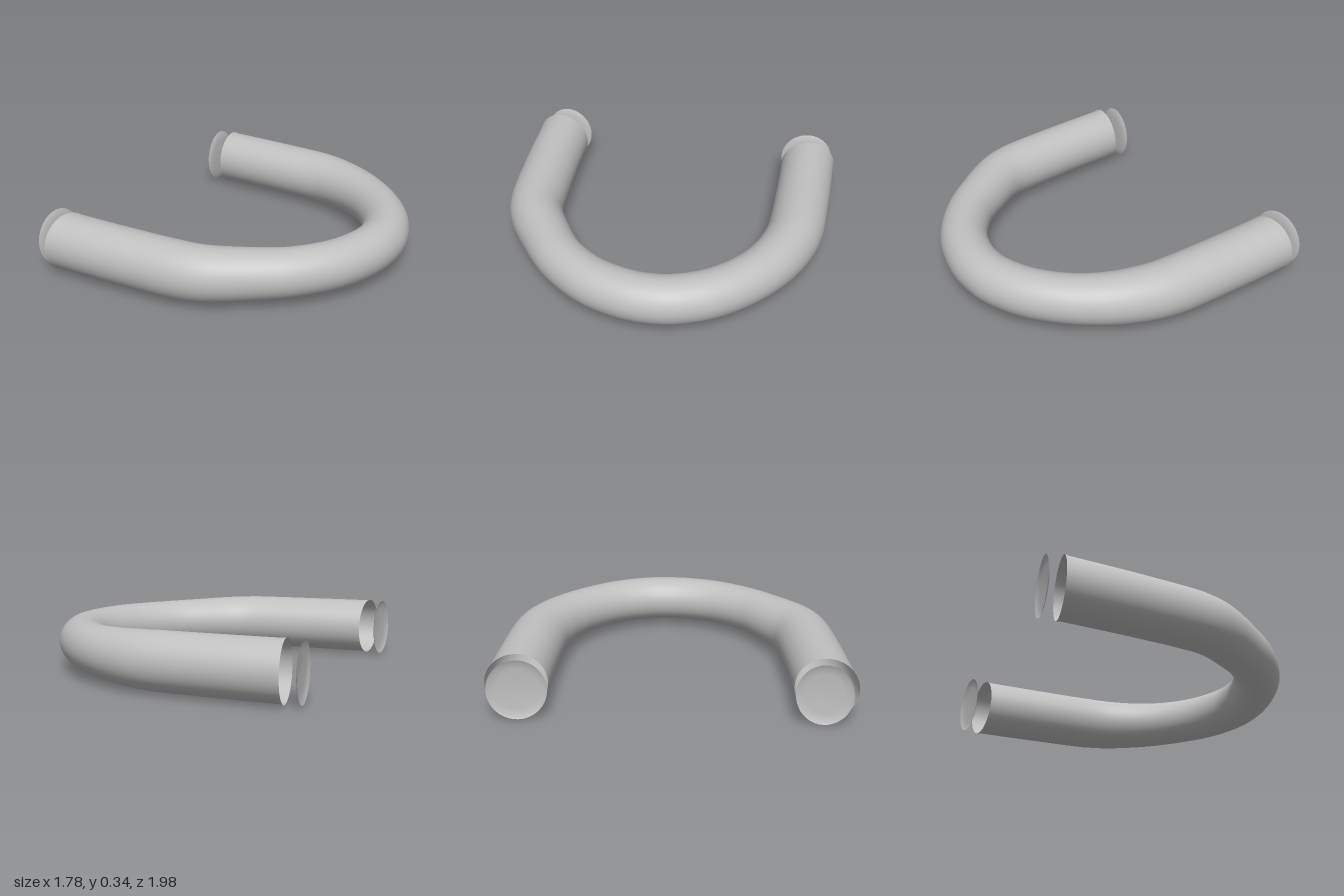
import * as THREE from 'three';

const CENTRE_Y = 0.176;

// Centre line of the bend in plan, as [x, z]
const PATH = [
  [-0.74, -0.825], [-0.4, -0.818], [0, -0.797], [0.14, -0.766], [0.32, -0.69],
  [0.5, -0.56], [0.65, -0.38], [0.73, -0.19], [0.745, -0.07], [0.733, 0.07],
  [0.66, 0.28], [0.5, 0.49], [0.3, 0.64], [0.12, 0.745], [0, 0.78],
  [-0.4, 0.81], [-0.79, 0.822],
];

// Pipe is thick on the straight legs and narrows round the bend
function pipeRadius(x) {
  if (x < 0) return 0.163 - 0.004 * x;
  return THREE.MathUtils.lerp(0.163, 0.138, THREE.MathUtils.smoothstep(x, -0.1, 0.6));
}

function buildPipe(material) {
  const rings = 160, sides = 40;
  const curve = new THREE.CatmullRomCurve3(
    PATH.map(([x, z]) => new THREE.Vector3(x, CENTRE_Y, z)), false, 'centripetal');
  const geometry = new THREE.TubeGeometry(curve, rings, 1, sides, false);
  const pos = geometry.attributes.position;
  const v = new THREE.Vector3();
  for (let i = 0; i <= rings; i++) {
    const c = curve.getPointAt(i / rings);
    const isEnd = i === 0 || i === rings;
    const r = isEnd ? 0.169 : pipeRadius(c.x);
    // Slanted cut fading out along each leg
    const slope = c.z > 0 ? -0.17 : 0.12;
    const slant = slope * THREE.MathUtils.smoothstep(-c.x, 0.3, 0.74);
    for (let j = 0; j <= sides; j++) {
      const k = i * (sides + 1) + j;
      v.fromBufferAttribute(pos, k).sub(c).multiplyScalar(r);
      v.x += v.z * slant;
      v.add(c);
      pos.setXYZ(k, v.x, v.y, v.z);
    }
  }
  const mesh = new THREE.Mesh(geometry, material);
  mesh.name = 'curvedPipe';
  return mesh;
}

// Shallow dish bulging towards the pipe, set just off its open end
function buildEndCap(name, x, z, halfWidth, slope, material) {
  const profile = [[0.168, 0], [0.15, 0.008], [0.115, 0.015], [0, 0.017]]
    .map(([r, h]) => new THREE.Vector2(r, h));
  const geometry = new THREE.LatheGeometry(profile, 40);
  geometry.rotateZ(-Math.PI / 2);
  geometry.scale(1, 1, halfWidth / 0.168);
  const pos = geometry.attributes.position;
  for (let i = 0; i < pos.count; i++) pos.setX(i, pos.getX(i) + pos.getZ(i) * slope);
  geometry.computeVertexNormals();
  const mesh = new THREE.Mesh(geometry, material);
  mesh.name = name;
  mesh.position.set(x, CENTRE_Y, z);
  return mesh;
}

export function createModel() {
  const grey = new THREE.MeshStandardMaterial({ color: 0xc0c0c0, side: THREE.DoubleSide });
  grey.name = 'plainGrey';
  const group = new THREE.Group();
  group.name = 'pipeBend';
  group.add(
    buildPipe(grey),
    buildEndCap('frontEndCap', -0.879, 0.8, 0.15, -0.1, grey),
    buildEndCap('backEndCap', -0.829, -0.81, 0.16, 0.08, grey),
  );
  return group;
}
